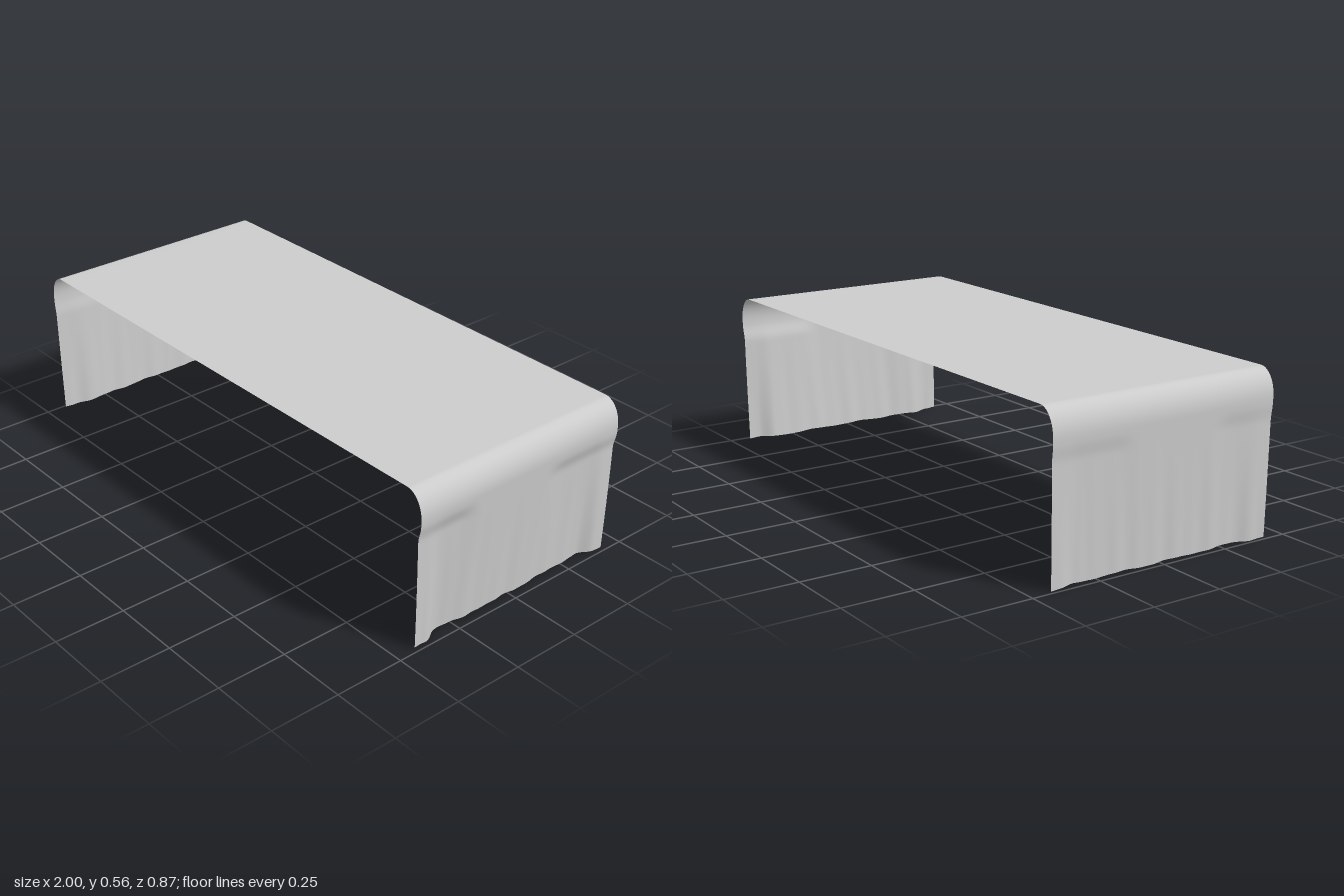
import * as THREE from 'three';

const { smoothstep, lerp } = THREE.MathUtils;
const TOP = 0.563;
const bump = (z, c, w) => Math.exp(-(((z - c) / w) ** 2));

// How far the hanging end is pulled inward at height y and depth z.
// hang: inward lean at the hem, fold: depth of the gathers, tuck: crease below the bend
function inset(y, z, side) {
  const down = 1 - smoothstep(y, 0, 0.47);
  const lean = (0.47 - y) / 0.47;
  const corner = z > 0 ? smoothstep(z, 0.17, 0.27) : smoothstep(-z, 0.1, 0.2);
  const tuck = side.tuck * corner * (1 - smoothstep(y, 0.39, 0.45)) * (0.4 + 0.6 * (1 - lean));
  const flare = smoothstep(Math.abs(z), 0.33, 0.39);
  const ripple = 0.0018 * Math.sin(z * 47 + 1) + 0.0012 * Math.sin(z * 83 + y * 4);
  const gathers = bump(z, 0.31, 0.035) + bump(z, -0.33, 0.035) - 0.5 * bump(z, -0.27, 0.02);
  return lean * side.hang * (1 - 0.55 * flare) + tuck * (1 - flare * lean)
    + down * (side.fold * gathers + ripple);
}

// Cross-section from the top edge over the rounded bend to the hem: [x, y] at depth z
function sidePoints(z, side) {
  const pts = [];
  for (let i = 0; i <= 10; i++) {
    const a = (i / 10) * Math.PI / 2;
    pts.push([0.935 + 0.063 * Math.sin(a), 0.473 + (TOP - 0.473) * Math.cos(a)]);
  }
  const rows = 40;
  for (let i = 1; i <= rows; i++) {
    const hem = 0.003 + 0.002 * Math.sin(z * 30);
    const y = lerp(0.473, hem, i / rows);
    pts.push([0.998 - inset(Math.min(y, 0.47), z, side), y]);
  }
  return pts;
}

function drapedSheet() {
  const left = { hang: 0.034, fold: 0.006, tuck: 0.012 };   // +x end
  const right = { hang: 0.02, fold: 0.003, tuck: 0.006 };   // -x end
  const columns = 120, top = 24;
  const position = [], index = [];
  let count = 0;
  for (let j = 0; j <= columns; j++) {
    const t = lerp(-1, 1, j / columns);
    const z0 = t * 0.433;
    const row = sidePoints(z0, right).reverse().map(([x, y]) => [-x, y]);
    for (let i = 1; i < top; i++) row.push([lerp(-0.935, 0.935, i / top), TOP]);
    row.push(...sidePoints(z0, left));
    count = row.length;
    for (const [x, y] of row) {
      // the sheet narrows slightly towards the hem
      const z = z0 - t * 0.007 * (1 - y / TOP);
      position.push(x, y, z);
    }
  }
  for (let j = 0; j < columns; j++) {
    for (let i = 0; i < count - 1; i++) {
      const a = j * count + i, b = a + count;
      index.push(a, b, a + 1, b, b + 1, a + 1);
    }
  }
  const geometry = new THREE.BufferGeometry();
  geometry.setAttribute('position', new THREE.Float32BufferAttribute(position, 3));
  geometry.setIndex(index);
  geometry.computeVertexNormals();
  return geometry;
}

export function createModel() {
  const group = new THREE.Group();
  group.name = 'drapedCloth';
  const material = new THREE.MeshStandardMaterial({ color: 0xcccccc, side: THREE.DoubleSide });
  const cloth = new THREE.Mesh(drapedSheet(), material);
  cloth.name = 'clothSheet';
  group.add(cloth);
  return group;
}
